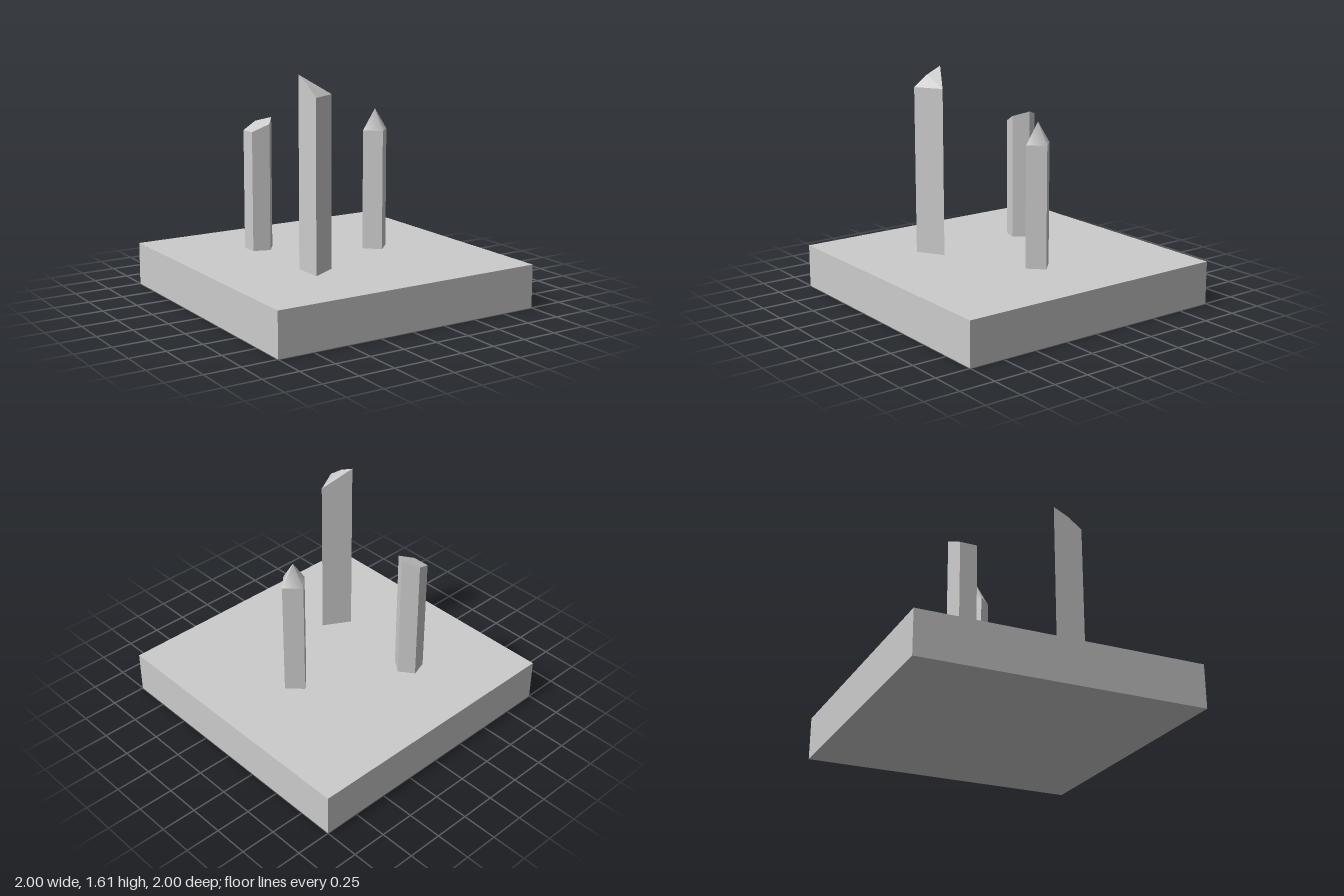
import * as THREE from 'three';

const BASE_TOP = 0.305;

// Prism from a counter-clockwise (seen from above) ring of [x, z, topHeight];
// the cap is a fan from the first corner.
function slantedPost(ring) {
  const low = ring.map(([x, z]) => [x, BASE_TOP, z]);
  const high = ring.map(([x, z, h]) => [x, h, z]);
  const tris = [];
  ring.forEach((_, i) => {
    const j = (i + 1) % ring.length;
    tris.push(low[i], low[j], high[j], low[i], high[j], high[i]);
    if (i > 0 && j > 0) tris.push(high[0], high[i], high[j], low[0], low[j], low[i]);
  });
  const geometry = new THREE.BufferGeometry();
  geometry.setAttribute('position', new THREE.Float32BufferAttribute(tris.flat(), 3));
  geometry.computeVertexNormals();
  return geometry;
}

export function createModel() {
  const group = new THREE.Group();
  const flat = new THREE.MeshStandardMaterial({ color: 0xcccccc, flatShading: true });
  const smooth = new THREE.MeshStandardMaterial({ color: 0xcccccc });
  const add = (name, geometry, material, x = 0, y = 0, z = 0) => {
    const mesh = new THREE.Mesh(geometry, material);
    mesh.name = name;
    mesh.position.set(x, y, z);
    group.add(mesh);
  };

  // Square slab
  add('base', new THREE.BoxGeometry(2, BASE_TOP, 2), flat, 0, BASE_TOP / 2, 0);

  // Square post turned on its corner, with a pointed cap
  const postTop = 1.155, capHeight = 0.15, height = postTop - BASE_TOP;
  add('squarePost', new THREE.CylinderGeometry(0.1, 0.1, height, 4), flat, 0.38, BASE_TOP + height / 2, 0);
  add('squarePostCap', new THREE.ConeGeometry(0.1, capHeight, 4, 1, true), smooth, 0.38, postTop + capHeight / 2, 0);

  // Triangular post, its cap rising to the back outer corner with a slight bulge
  add('triangularPost', slantedPost([
    [-0.398, 0.36, 1.558],
    [-0.398, 0.468, 1.48],
    [-0.21, 0.36, 1.48],
    [-0.398, 0.252, 1.61],
  ]), flat);

  // Pentagonal post with a top sloping up toward +x
  const pentagon = [];
  for (let i = 0; i < 5; i++) {
    const a = (i * Math.PI * 2) / 5;
    const x = -0.333 + 0.105 * Math.cos(a);
    pentagon.push([x, -0.405 - 0.105 * Math.sin(a), 1.155 + 0.45 * (x + 0.418)]);
  }
  add('pentagonalPost', slantedPost(pentagon), flat);

  return group;
}
